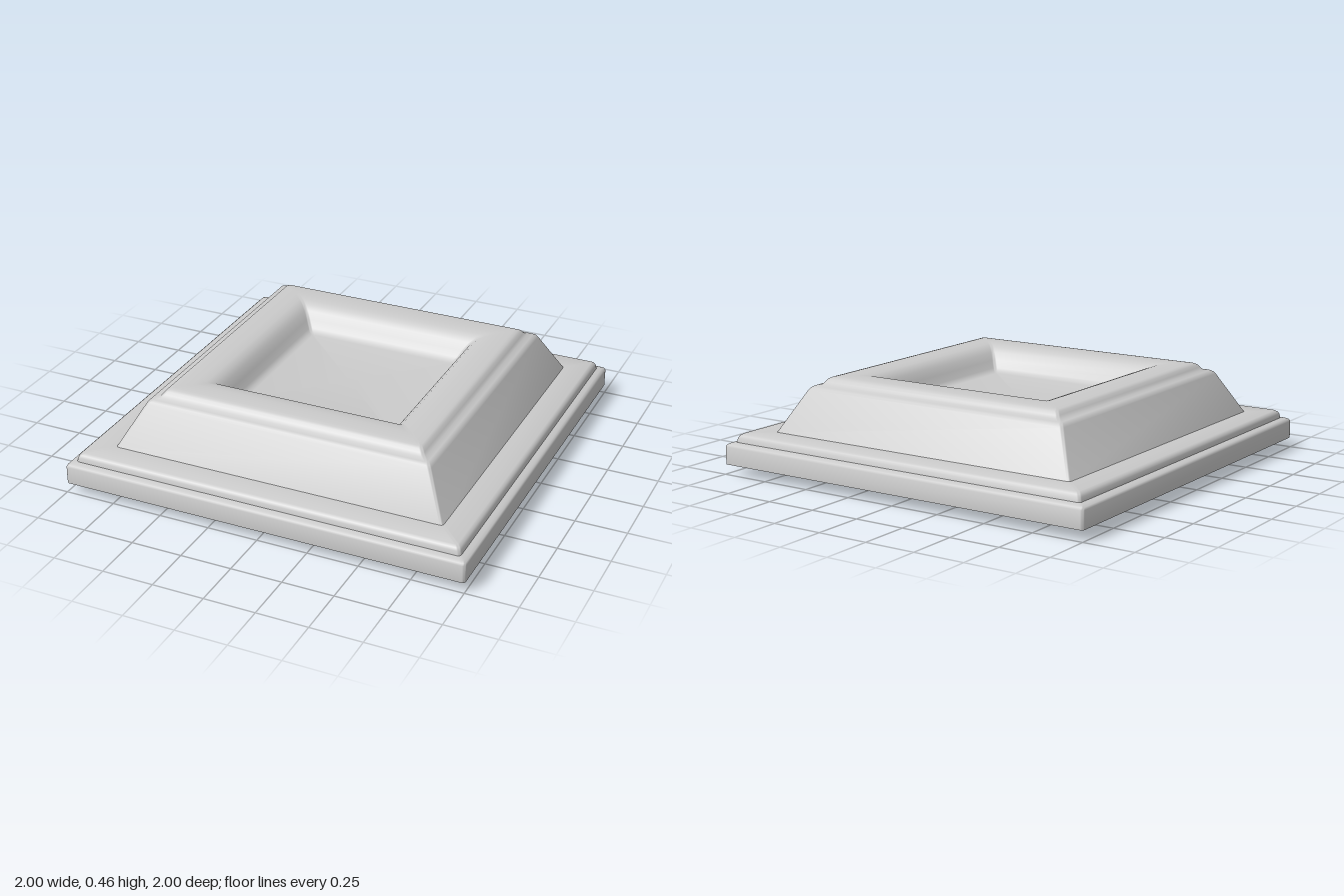
import * as THREE from 'three';
import { toCreasedNormals } from 'three/addons/utils/BufferGeometryUtils.js';

const material = new THREE.MeshStandardMaterial({ color: 0xcccccc, side: THREE.DoubleSide });

// One square ring with softened corners, counterclockwise seen from above
function squareRing(half, y, radius, steps) {
  const r = Math.min(radius, half);
  const ring = [];
  for (let q = 0; q < 4; q++) {
    const sx = q === 0 || q === 3 ? 1 : -1;
    const sz = q < 2 ? -1 : 1;
    for (let k = 0; k <= steps; k++) {
      const a = (q + k / steps) * Math.PI / 2;
      ring.push([sx * (half - r) + r * Math.cos(a), y, sz * (half - r) - r * Math.sin(a)]);
    }
  }
  return ring;
}

// Sweeps a profile of [half width, height] points around the square
function squareSweep(name, profile, radius, steps, crease) {
  const rings = profile.map(([half, y]) => squareRing(half, y, radius, steps));
  const n = rings[0].length;
  const index = [];
  for (let j = 0; j < rings.length - 1; j++) {
    for (let i = 0; i < n; i++) {
      const a = j * n + i;
      const b = j * n + (i + 1) % n;
      index.push(a, b, b + n, a, b + n, a + n);
    }
  }
  const geometry = new THREE.BufferGeometry();
  geometry.setAttribute('position', new THREE.Float32BufferAttribute(rings.flat(2), 3));
  geometry.setIndex(index);
  const mesh = new THREE.Mesh(toCreasedNormals(geometry, crease), material);
  mesh.name = name;
  return mesh;
}

export function createModel() {
  const group = new THREE.Group();
  group.name = 'squareCap';

  // Hollow flange: upright skirt, rounded shoulder, small step, flat ledge
  group.add(squareSweep('flange', [
    [1, 0.05], [1, 0.135], [0.995, 0.145], [0.983, 0.151], [0.962, 0.155],
    [0.958, 0.175], [0.952, 0.187], [0.938, 0.195], [0.81, 0.195],
  ], 0.015, 3, 0.9));

  // Sloping body, stepped crest and shallow dished recess
  group.add(squareSweep('raisedBody', [
    [0.826, 0.195], [0.718, 0.395], [0.71, 0.406], [0.696, 0.414], [0.672, 0.419],
    [0.66, 0.432], [0.65, 0.445], [0.637, 0.452], [0.62, 0.455],
    [0.55, 0.455], [0.51, 0.452], [0.48, 0.442], [0.455, 0.42], [0.43, 0.385],
    [0.41, 0.35], [0.395, 0.335], [0.375, 0.33], [0, 0.33],
  ], 0.015, 3, 0.9));

  // Closed plug beneath the flange
  group.add(squareSweep('basePlug', [
    [0, 0], [0.815, 0], [0.815, 0.195],
  ], 0.015, 1, 0.5));

  return group;
}
